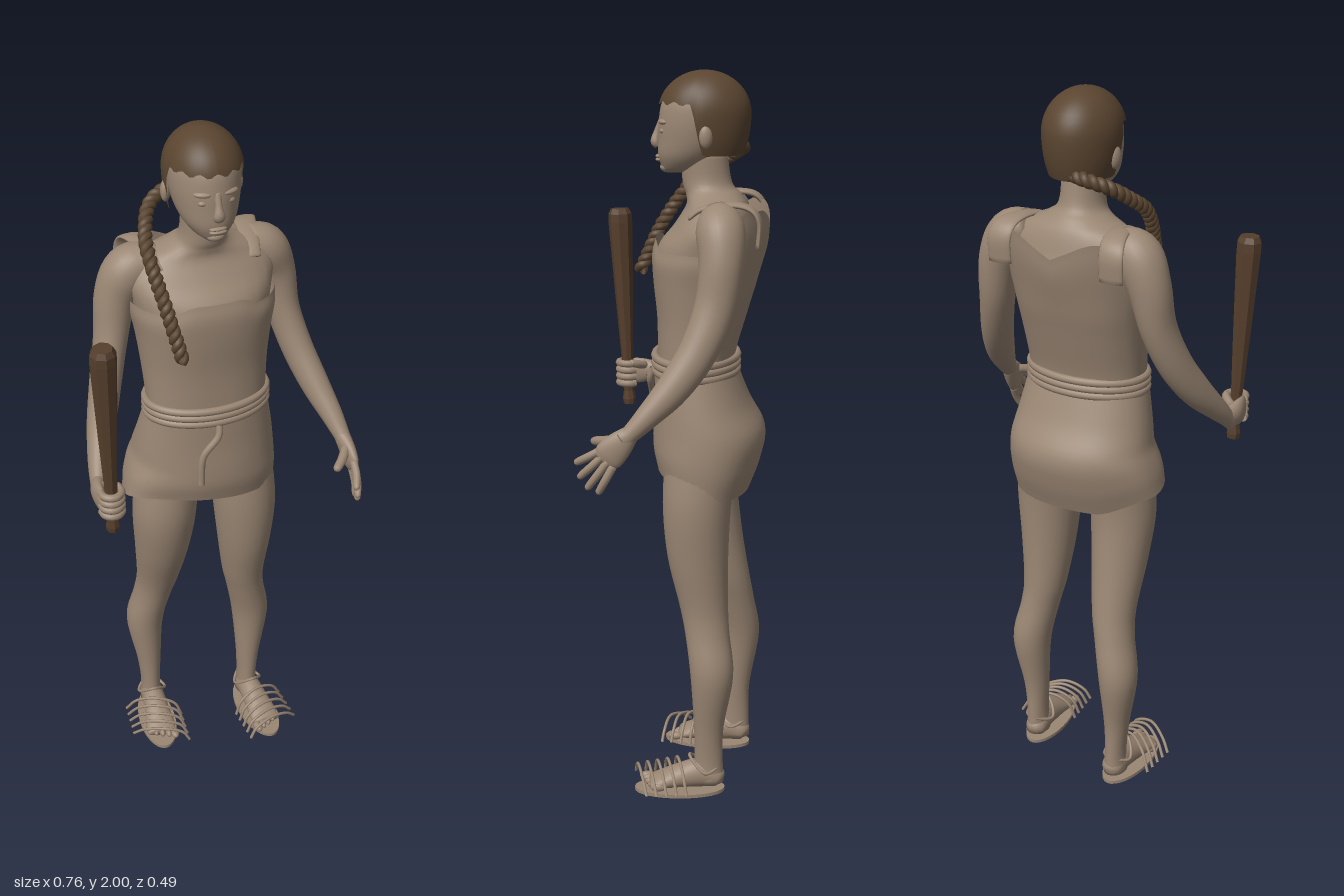
import * as THREE from 'three';

const mat = (name, color) => {
  const m = new THREE.MeshStandardMaterial({ color, side: THREE.DoubleSide });
  m.name = name;
  return m;
};
const V = (x, y, z) => new THREE.Vector3(x, y, z);

// Smooth skin through sections [x, y, z, radiusSide, radiusDepth].
// level: keep all rings horizontal (list sections from low to high).
function loft(rows, { level = false, seg = 28, sub = 5, pow = 2, caps = true } = {}) {
  const cubic = new THREE.CubicInterpolant(rows.map((_, i) => i), rows.flat(), 5);
  const n = (rows.length - 1) * sub, pos = [], idx = [], samples = [];
  for (let i = 0; i <= n; i++) samples.push([...cubic.evaluate(i / sub)]);
  const at = i => V(...samples[Math.min(n, Math.max(0, i))].slice(0, 3));
  const round = c => Math.sign(c) * Math.abs(c) ** (2 / pow);
  samples.forEach(([x, y, z, a, b], i) => {
    const T = level ? V(0, 1, 0) : at(i + 1).sub(at(i - 1)).normalize();
    const S = V(1, 0, 0).addScaledVector(T, -T.x).normalize();
    const N = T.clone().cross(S);
    for (let j = 0; j < seg; j++) {
      const t = j / seg * Math.PI * 2;
      const p = V(x, y, z).addScaledVector(S, round(Math.cos(t)) * a).addScaledVector(N, round(Math.sin(t)) * b);
      pos.push(p.x, p.y, p.z);
    }
  });
  for (let i = 0; i < n; i++) for (let j = 0; j < seg; j++) {
    const a = i * seg + j, b = i * seg + (j + 1) % seg;
    idx.push(a, b, a + seg, b, b + seg, a + seg);
  }
  if (caps) {
    const c = pos.length / 3, e = n * seg;
    pos.push(...samples[0].slice(0, 3), ...samples[n].slice(0, 3));
    for (let j = 0; j < seg; j++) {
      const k = (j + 1) % seg;
      idx.push(c, k, j, c + 1, e + j, e + k);
    }
  }
  const g = new THREE.BufferGeometry();
  g.setAttribute('position', new THREE.Float32BufferAttribute(pos, 3));
  g.setIndex(idx);
  g.computeVertexNormals();
  return g;
}

// Move every vertex by a rule
function warp(g, rule) {
  const p = g.attributes.position, v = V(0, 0, 0);
  for (let i = 0; i < p.count; i++) {
    rule(v.fromBufferAttribute(p, i));
    p.setXYZ(i, v.x, v.y, v.z);
  }
  g.computeVertexNormals();
  return g;
}

const curve = (pts, closed = false) => new THREE.CatmullRomCurve3(pts.map(p => V(...p)), closed);
const tube = (pts, r, n = 24, closed = false) => new THREE.TubeGeometry(curve(pts, closed), n, r, 8, closed);
const clamp = THREE.MathUtils.clamp, smooth = THREE.MathUtils.smoothstep;

export function createModel() {
  const root = new THREE.Group();
  const taupe = mat('skinAndCloth', 0x9b8774), hairMat = mat('darkHair', 0x5a4530), wood = mat('clubWood', 0x553e2c);
  const add = (name, geo, m, parent = root) => {
    const mesh = new THREE.Mesh(geo, m);
    mesh.name = name;
    parent.add(mesh);
    return mesh;
  };
  const ball = (name, p, s, parent) => {
    const b = add(name, new THREE.SphereGeometry(1, 20, 14), taupe, parent);
    b.position.set(...p);
    b.scale.set(...s);
    return b;
  };

  // Chest, shoulders and neck
  add('chestAndNeck', loft([
    [0, 1.3, -.06, .15, .1], [0, 1.42, -.072, .17, .125], [0, 1.53, -.082, .187, .138],
    [0, 1.6, -.098, .198, .106], [0, 1.65, -.105, .155, .083], [0, 1.68, -.095, .088, .074],
    [0, 1.71, -.078, .06, .066], [0, 1.79, -.068, .057, .062]], { level: true }), taupe);

  // Tunic top: higher at the back, with a notch at the nape
  add('tunicTop', warp(loft([
    [0, 1.18, -.05, .166, .106], [0, 1.25, -.052, .166, .106], [0, 1.35, -.065, .173, .12],
    [0, 1.45, -.075, .185, .14], [0, 1.52, -.086, .196, .154], [0, 1.565, -.094, .197, .152]],
  { level: true, seg: 48, pow: 2.3, caps: false }), v => {
    const t = clamp((v.y - 1.44) / .12, 0, 1), back = smooth(-v.z, .1, .2);
    v.y += t * back * (.085 - .05 * Math.max(0, 1 - Math.abs(v.x) / .1));
    if (back < .5) v.y -= t * .025 * smooth(Math.abs(v.x), .07, .11);
  }), taupe);

  // Skirt: slanted front hem, lower back hem, flare on the right hip
  add('skirt', warp(loft([
    [0, .9, -.073, .2, .128], [0, .97, -.082, .207, .148], [0, 1.04, -.087, .203, .154],
    [0, 1.12, -.068, .19, .131], [0, 1.21, -.05, .172, .112]],
  { level: true, seg: 48, pow: 2.2, caps: false }), v => {
    const t = clamp((1.05 - v.y) / .15, 0, 1), front = smooth(v.z, -.1, .03), hip = smooth(-v.x, .1, .2);
    v.y += t * (front * (.04 - .1 * v.x) - (1 - front) * .025 * (1 - 2 * hip));
    v.x -= t * .036 * hip;
  }), taupe);

  // Rope belt with a hanging end
  for (const y of [1.205, 1.224, 1.243]) {
    const pts = [];
    for (let i = 0; i < 24; i++) {
      const a = i / 24 * Math.PI * 2;
      pts.push([Math.cos(a) * .169, y, -.05 + Math.sin(a) * .112]);
    }
    add('beltRope', tube(pts, .011, 72, true), taupe);
  }
  add('beltRopeEnd', tube([[0, 1.2, .068], [-.006, 1.17, .077], [-.048, 1.11, .075], [-.055, 1.02, .076]], .01), taupe);

  // Head
  const head = new THREE.Group();
  head.name = 'head';
  root.add(head);
  add('skull', loft([
    [0, 1.735, .008, .022, .028], [0, 1.75, -.016, .046, .06], [0, 1.78, -.032, .069, .085],
    [0, 1.82, -.052, .084, .105], [0, 1.87, -.063, .092, .114], [0, 1.92, -.068, .089, .109],
    [0, 1.96, -.07, .066, .08], [0, 1.983, -.07, .025, .03]], { level: true, seg: 36 }), taupe, head);
  add('nose', loft([
    [0, 1.872, .043, .01, .008], [0, 1.84, .054, .009, .01], [0, 1.815, .06, .015, .013],
    [0, 1.803, .052, .012, .01]], { seg: 14 }), taupe, head);
  for (const y of [1.768, 1.777]) ball('lip', [0, y, .05], [.023, .0055, .01], head);
  ball('chin', [0, 1.748, .03], [.024, .014, .018], head);
  for (const s of [-1, 1]) {
    ball('eye', [s * .034, 1.845, .036], [.014, .008, .01], head);
    ball('brow', [s * .035, 1.868, .036], [.024, .008, .012], head).rotation.y = s * .35;
    ball('ear', [s * .095, 1.835, -.08], [.013, .03, .018], head).rotation.y = s * .3;
  }

  // Hair cap: wavy fringe, long at sides and back
  const hair = new THREE.CylinderGeometry(1, 1, 1, 72, 16, true);
  add('hairCap', warp(hair, v => {
    const t = .5 - v.y, a = Math.atan2(v.x, v.z), f = Math.abs(a);
    const rim = 1.917 + .005 * Math.cos(a * 14) * (f < 1.2 ? 1 : 0) - .133 * smooth(f, 1.3, 1.6);
    const y = 2 - (2 - rim) * t * t * (2 - t);
    const d = (y - 1.89) / (y > 1.89 ? .11 : .2), r = Math.sqrt(Math.max(0, 1 - d * d));
    v.set(Math.sin(a) * r * .102, y, -.07 + Math.cos(a) * r * .123);
  }), hairMat, head);

  // Braid: two strands wound about a path over the right shoulder
  const path = curve([[-.01, 1.8, -.155], [-.06, 1.795, -.17], [-.115, 1.775, -.145], [-.15, 1.73, -.08],
    [-.158, 1.69, -.025], [-.14, 1.58, .055], [-.115, 1.45, .115]]);
  const N = 200, frames = path.computeFrenetFrames(N);
  for (const phase of [0, Math.PI]) {
    const pts = [];
    for (let i = 0; i <= N; i++) {
      const a = phase + i / N * Math.PI * 24;
      const p = path.getPointAt(i / N).addScaledVector(frames.normals[i], Math.cos(a) * .008)
        .addScaledVector(frames.binormals[i], Math.sin(a) * .008);
      pts.push(p.toArray());
    }
    add('braidStrand', tube(pts, .0115, 300), hairMat);
  }

  for (const s of [-1, 1]) {
    // Arm, reaching forward from the shoulder
    add('arm', loft([
      [s * .13, 1.635, -.115, .045, .05], [s * .185, 1.605, -.125, .064, .064], [s * .222, 1.53, -.13, .056, .058],
      [s * .242, 1.42, -.116, .046, .054], [s * .272, 1.31, -.075, .043, .05], [s * .304, 1.22, -.015, .039, .044],
      [s * .332, 1.15, .05, .03, .032], [s * .347, 1.105, .095, .022, .024], [s * .352, 1.09, .115, .019, .027]]), taupe);
    // Cloth strap over the shoulder
    add('shoulderStrap', loft([
      [s * .162, 1.56, -.222, .034, .008], [s * .162, 1.625, -.224, .034, .008], [s * .155, 1.66, -.198, .032, .008],
      [s * .143, 1.668, -.14, .028, .008], [s * .132, 1.655, -.075, .024, .008], [s * .128, 1.63, -.04, .02, .006]],
    { seg: 16 }), taupe);
    // Leg, the right one set back
    const leg = [[.03, .15, -.1, .033, .043], [.1, .15, -.1, .029, .04], [.2, .153, -.1, .036, .042],
      [.36, .16, -.108, .055, .06], [.48, .138, -.093, .056, .062], [.56, .126, -.082, .062, .068],
      [.7, .122, -.065, .078, .084], [.85, .119, -.062, .091, .094], [1, .108, -.075, .088, .1]];
    add('leg', loft(leg.map(([y, x, z, a, b]) =>
      [s * x, y, z - (s < 0 ? .06 * smooth(-y, -.95, -.4) : 0), a, b]), { level: true }), taupe);

    // Foot in its sandal
    const foot = new THREE.Group();
    foot.name = 'foot';
    foot.position.set(s * .15, 0, s < 0 ? -.148 : -.09);
    foot.rotation.y = s * .08;
    root.add(foot);
    add('footBody', loft([
      [0, .035, -.05, .012, .012], [0, .042, -.035, .03, .03], [0, .054, .01, .034, .042], [0, .045, .07, .038, .034],
      [0, .032, .125, .044, .021], [0, .025, .155, .04, .014]]), taupe, foot);
    for (let i = 0; i < 5; i++) {
      const x = s * (i * .0185 - .036);
      ball('toe', [x, .025, .165 - i * .008], [i ? .0095 : .013, .012, .022], foot);
    }
    const sole = add('sole', new THREE.CylinderGeometry(1, 1, .01, 32), taupe, foot);
    sole.scale.set(.056, 1, .128);
    sole.position.set(0, .005, .072);
    const slant = s < 0 ? .05 : .022;
    for (let i = 0; i < 5; i++) {
      const z = .075 + i * .028, h = .095 - i * .006;
      add('sandalStrap', tube([[-s * .075, .02, z + .012], [-s * .055, h * .72, z + .008], [0, h, z],
        [s * .058, h * .75, z - slant * .6], [s * .088, .025, z - slant]], .0045, 20), taupe, foot);
    }
    add('ankleStrap', tube([[-.042, .07, 0], [0, .085, -.046], [.042, .07, 0], [0, .11, .045]], .0045, 36, true), taupe, foot);
  }

  // Open left hand
  const finger = (a, b, r = .011) => {
    const m = (k, d) => a.map((v, i) => v + (b[i] - v) * k + (i ? 0 : d));
    add('finger', loft([[...a, r, r], [...m(.5, .004), r, r], [...m(.9, 0), r * .85, r * .85], [...b, .003, .003]], { seg: 10 }), taupe);
  };
  add('leftPalm', loft([[.345, 1.11, .09, .021, .023], [.352, 1.08, .12, .02, .036],
    [.356, 1.05, .148, .016, .04], [.358, 1.035, .162, .009, .028]]), taupe);
  [[[.354, 1.066, .165], [.335, 1.022, .24]], [[.358, 1.052, .16], [.345, .985, .23]],
    [[.361, 1.036, .15], [.355, .958, .208]], [[.362, 1.024, .136], [.362, .948, .178]]].forEach(f => finger(...f));
  finger([.345, 1.09, .13], [.289, 1.07, .2], .013);

  // Right hand closed on the club
  add('rightPalm', loft([[-.347, 1.11, .09, .02, .024], [-.356, 1.107, .125, .02, .034],
    [-.358, 1.105, .155, .015, .038], [-.356, 1.105, .18, .01, .034]]), taupe);
  for (let i = 0; i < 4; i++) {
    const y = 1.075 + i * .02, pts = [];
    for (let k = 0; k <= 6; k++) {
      const a = Math.PI * (1.05 - k * .22);
      pts.push([-.335 + Math.cos(a) * .027, y, .176 + Math.sin(a) * .029]);
    }
    add('grippingFinger', tube(pts, .0105), taupe);
  }
  finger([-.345, 1.125, .13], [-.305, 1.14, .17], .012);

  // Eight-sided wooden club
  const profile = [[0, 0], [.018, 0], [.02, .015], [.016, .04], [.017, .13], [.026, .32], [.035, .54], [.034, .565], [.026, .58], [0, .58]];
  const clubGeo = new THREE.LatheGeometry(profile.map(p => new THREE.Vector2(...p)), 8).toNonIndexed();
  clubGeo.computeVertexNormals();
  const club = add('club', clubGeo, wood);
  club.position.set(-.333, 1.01, .174);
  club.rotation.set(.045, 0, .022);
  return root;
}
